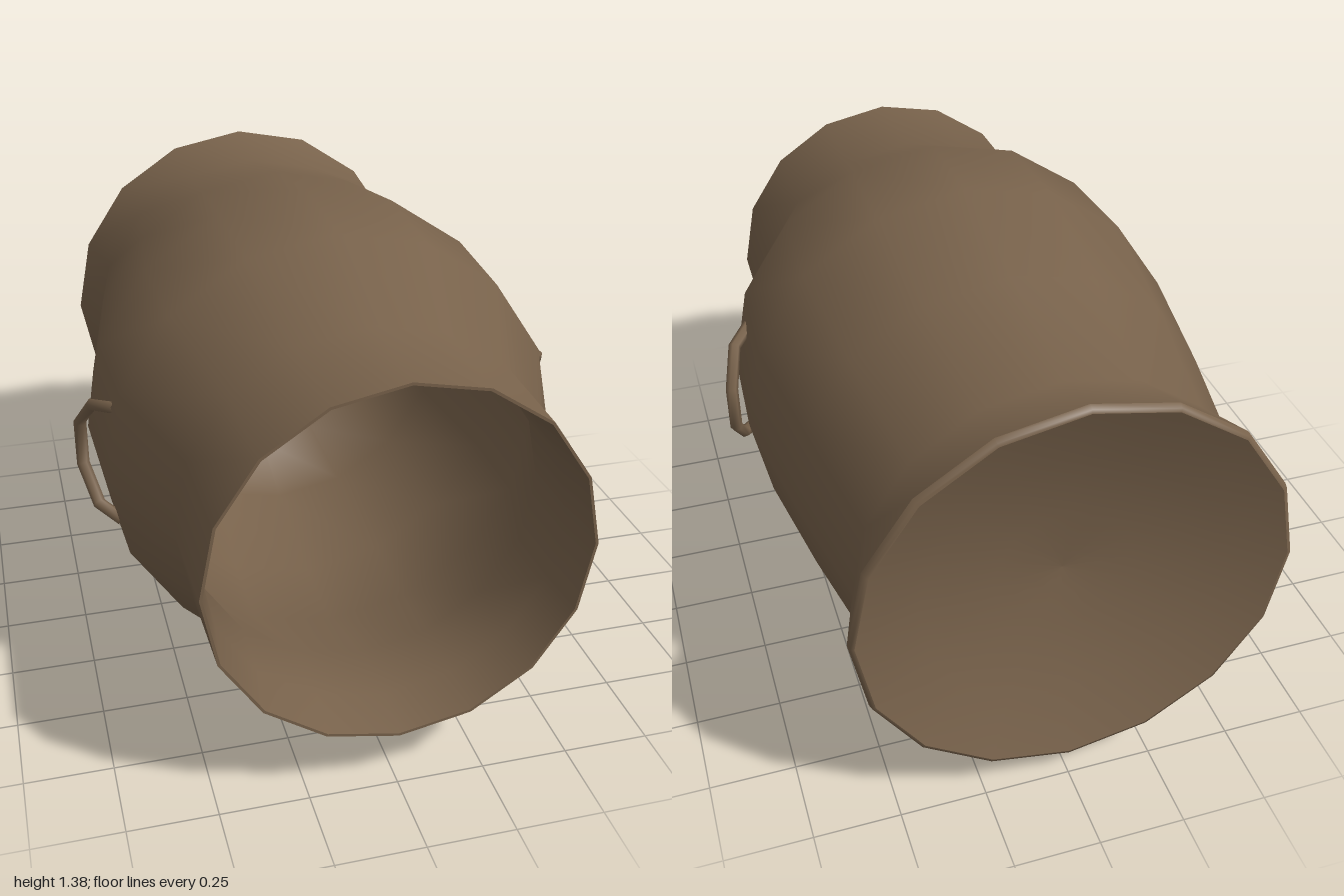
import * as THREE from 'three';

const SIDES = 16;
const AXIS_Y = 0.695; // height of the pot's lying axis

// Turn a [radius, z] profile about the z axis.
function turned(name, profile, material) {
  const points = profile.map(([r, z]) => new THREE.Vector2(r, z));
  const geometry = new THREE.LatheGeometry(points, SIDES);
  geometry.rotateX(Math.PI / 2);
  geometry.translate(0, AXIS_Y, 0);
  const mesh = new THREE.Mesh(geometry, material);
  mesh.name = name;
  return mesh;
}

// Faceted C-shaped handle, one tube ring per path point.
function handle(name, side, material) {
  const path = new THREE.CatmullRomCurve3([
    [0.63, 0.185, 0.27], [0.69, 0.165, 0.19], [0.722, 0.07, 0.1],
    [0.722, -0.07, 0.1], [0.69, -0.165, 0.19], [0.63, -0.185, 0.27],
  ].map(([x, y, z]) => new THREE.Vector3(side * x, AXIS_Y + y, z)), false, 'catmullrom');
  path.getPointAt = path.getPoint;
  path.getTangentAt = path.getTangent;
  const mesh = new THREE.Mesh(new THREE.TubeGeometry(path, 5, 0.019, 6), material);
  mesh.name = name;
  return mesh;
}

export function createModel() {
  const clay = new THREE.MeshStandardMaterial({ color: 0x78624b });
  clay.name = 'brown clay';
  const pot = new THREE.Group();
  pot.name = 'pot';

  pot.add(
    // Outer wall from flared foot to collar
    turned('body', [
      [0.615, -0.98], [0.558, -0.8], [0.632, -0.4], [0.692, 0],
      [0.675, 0.34], [0.537, 0.665], [0.53, 1],
    ], clay),
    turned('footRim', [[0.6, -1], [0.61, -0.997], [0.615, -0.98]], clay),
    // Shallow hollow under the foot
    turned('footHollow', [[0, -0.87], [0.2, -0.885], [0.42, -0.935], [0.6, -1]], clay),
    turned('mouthRim', [[0.53, 1], [0.522, 1]], clay),
    // Inner wall and rounded floor
    turned('inside', [
      [0.522, 1], [0.505, 0.85], [0.505, 0.65], [0.635, 0.3], [0.64, 0],
      [0.58, -0.4], [0.5, -0.68], [0.3, -0.77], [0, -0.8],
    ], clay),
    handle('leftHandle', 1, clay),
    handle('rightHandle', -1, clay),
  );
  return pot;
}
